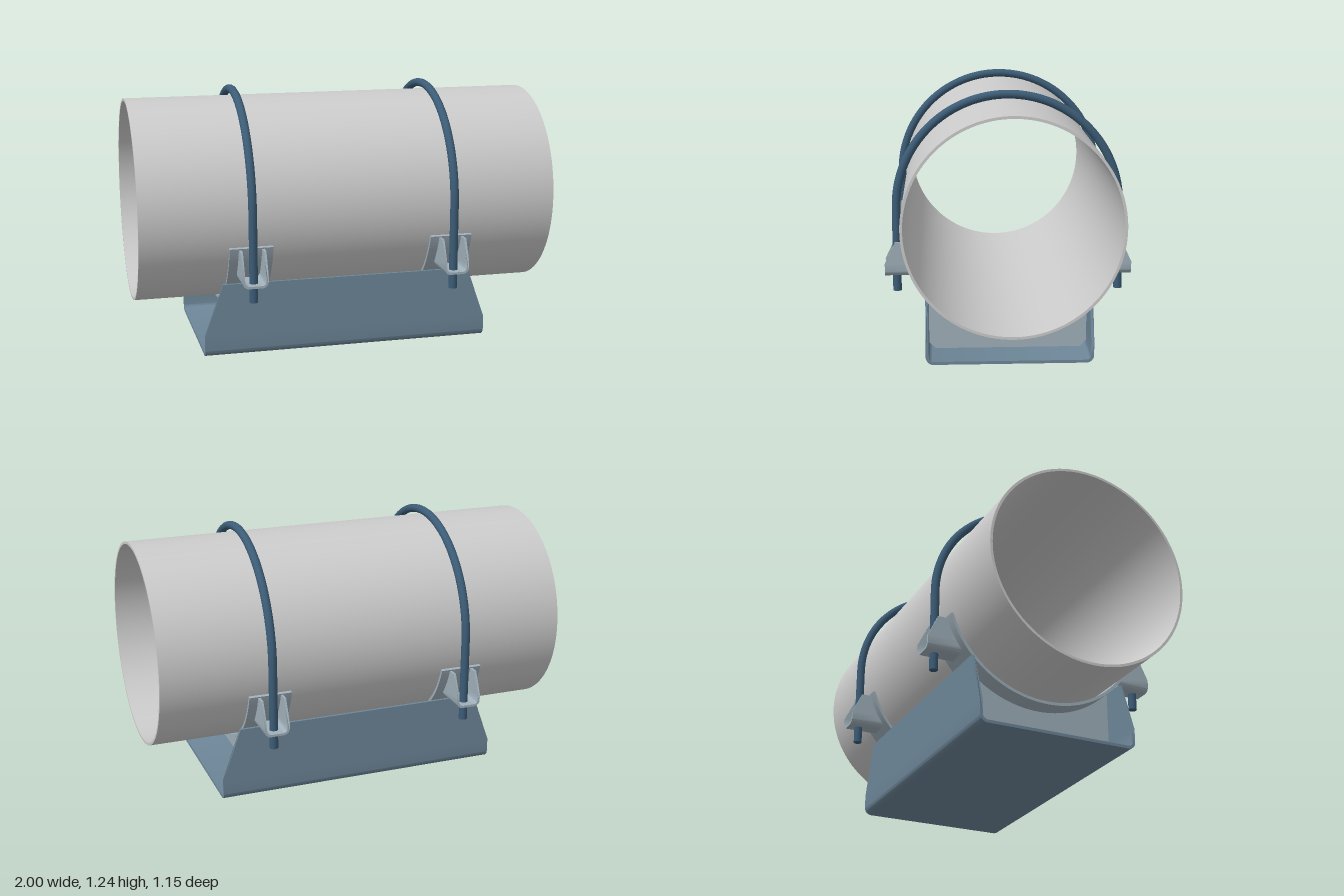
import * as THREE from 'three';
import { toCreasedNormals } from 'three/addons/utils/BufferGeometryUtils.js';

const AXIS_Y = 0.7;      // pipe axis height
const PIPE_R = 0.487;
const BAND_R = 0.507;    // outside of the saddle bands
const CLAMP_X = 0.484;

const paint = (color) => new THREE.MeshStandardMaterial({ color });

function addMesh(parent, name, geometry, material) {
  const mesh = new THREE.Mesh(geometry, material);
  mesh.name = name;
  parent.add(mesh);
  return mesh;
}

// Extrude a shape centred on its depth
function extrude(shape, depth, curveSegments = 12) {
  const g = new THREE.ExtrudeGeometry(shape, { depth, bevelEnabled: false, curveSegments });
  return g.translate(0, 0, -depth / 2);
}

// Turn a (z, y) section into a body running along x
const alongX = (g) => toCreasedNormals(g.rotateY(-Math.PI / 2), 0.5);

// Rounded U section; levels are the wall heights, bottom to top
function uSection(half, y0, t, r, levels) {
  const s = new THREE.Shape();
  const up = [...levels], down = [...levels].reverse();
  s.moveTo(-half + r, y0);
  s.lineTo(half - r, y0);
  s.absarc(half - r, y0 + r, r, -Math.PI / 2, 0, false);
  up.forEach((y) => s.lineTo(half, y));
  down.forEach((y) => s.lineTo(half - t, y));
  s.absarc(half - r, y0 + r, r - t, 0, -Math.PI / 2, true);
  s.lineTo(-half + r, y0 + t);
  s.absarc(-half + r, y0 + r, r - t, -Math.PI / 2, -Math.PI, true);
  up.forEach((y) => s.lineTo(-half + t, y));
  down.forEach((y) => s.lineTo(-half, y));
  s.absarc(-half + r, y0 + r, r, Math.PI, Math.PI * 1.5, false);
  return s;
}

function pipeGeometry() {
  const s = new THREE.Shape().absarc(0, AXIS_Y, PIPE_R, 0, Math.PI * 2, false);
  s.holes.push(new THREE.Path().absarc(0, AXIS_Y, 0.475, 0, Math.PI * 2, true));
  return alongX(extrude(s, 2, 64));
}

// Bent channel whose walls taper towards the top
function cradleGeometry() {
  const g = extrude(uSection(0.387, 0, 0.014, 0.036, [0.1, 0.353]), 1.39);
  const p = g.attributes.position;
  for (let i = 0; i < p.count; i++) {
    const k = Math.max(0, (p.getY(i) - 0.1) / 0.253);
    p.setZ(i, Math.sign(p.getZ(i)) * (0.695 - 0.09 * k));
  }
  return alongX(g);
}

// Cross plate with clipped lower corners and a round seat
function plateGeometry() {
  const s = new THREE.Shape();
  const w = 0.372, a = Math.acos(w / BAND_R);
  s.moveTo(-w + 0.03, 0.014);
  s.lineTo(w - 0.03, 0.014);
  s.lineTo(w, 0.044);
  s.absarc(0, AXIS_Y, BAND_R, -a, -Math.PI + a, true);
  s.lineTo(-w, 0.044);
  return alongX(extrude(s, 0.016, 32));
}

function bandGeometry() {
  const s = new THREE.Shape();
  const a = 0.305;
  s.absarc(0, AXIS_Y, BAND_R, Math.PI + a, Math.PI * 2 - a, false);
  s.absarc(0, AXIS_Y, 0.493, -a, -Math.PI + a, true);
  return alongX(extrude(s, 0.205, 48));
}

// U lug: the inner edge follows the band, the outer edge slopes back
function lugGeometry() {
  const g = extrude(uSection(0.06, 0.38, 0.011, 0.03, [0.44, 0.475, 0.51, 0.542]), 1);
  const p = g.attributes.position;
  for (let i = 0; i < p.count; i++) {
    const y = p.getY(i);
    const inner = Math.max(0.41, Math.sqrt(BAND_R ** 2 - (AXIS_Y - y) ** 2) - 0.004);
    const outer = 0.573 - 0.048 * Math.max(0, (y - 0.44) / 0.102);
    p.setZ(i, p.getZ(i) > 0 ? outer : inner);
  }
  return toCreasedNormals(g, 0.5);
}

export function createModel() {
  const model = new THREE.Group();
  model.name = 'pipeSupport';
  const grey = paint(0xcccccc);
  const steel = paint(0xa0b0ba);
  const blue = paint(0x6d8698);
  const darkBlue = paint(0x3c5c76);

  addMesh(model, 'pipe', pipeGeometry(), grey);
  addMesh(model, 'cradle', cradleGeometry(), blue);

  const plate = plateGeometry(), band = bandGeometry(), lug = lugGeometry();
  const boltR = 0.02, bendR = 0.518;
  const bend = new THREE.TorusGeometry(bendR, boltR, 16, 64, Math.PI).rotateY(Math.PI / 2);
  const leg = new THREE.CylinderGeometry(boltR, boltR, 0.4, 16);

  // Two matching clamps
  for (const side of [-1, 1]) {
    const clamp = new THREE.Group();
    clamp.name = side > 0 ? 'leftClamp' : 'rightClamp';
    clamp.position.x = side * CLAMP_X;
    model.add(clamp);

    addMesh(clamp, 'crossPlate', plate, steel);
    addMesh(clamp, 'saddleBand', band, steel);
    addMesh(clamp, 'boltBend', bend, darkBlue).position.y = AXIS_Y;
    for (const end of [1, -1]) {
      const prefix = end > 0 ? 'front' : 'back';
      addMesh(clamp, prefix + 'BoltLeg', leg, darkBlue).position.set(0, 0.5, end * bendR);
      addMesh(clamp, prefix + 'Lug', lug, steel).rotation.y = end > 0 ? 0 : Math.PI;
    }
  }
  return model;
}
